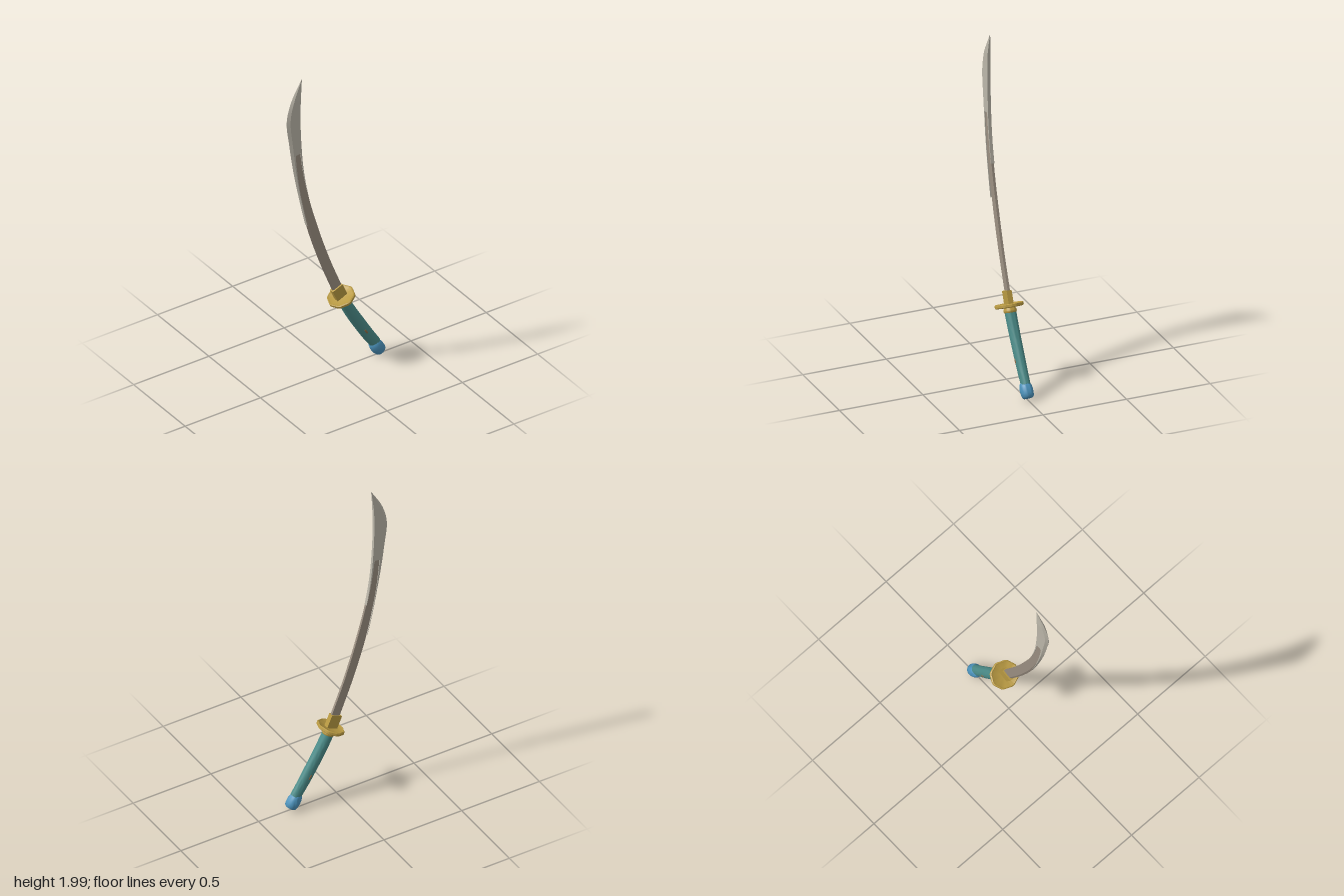
import * as THREE from 'three';
import { toCreasedNormals } from 'three/addons/utils/BufferGeometryUtils.js';

const mat = (name, color, side = THREE.FrontSide) => {
  const m = new THREE.MeshStandardMaterial({ color, side });
  m.name = name;
  return m;
};

// Closed skin over a row of rings (arrays of Vector3), capped at both ends
function loft(rings, crease = 0.6) {
  const n = rings[0].length, pos = [], idx = [];
  const centre = r => r.reduce((s, p) => s.add(p), new THREE.Vector3()).divideScalar(n);
  rings.forEach(r => r.forEach(p => pos.push(p.x, p.y, p.z)));
  for (let i = 0; i < rings.length - 1; i++) {
    for (let j = 0; j < n; j++) {
      const a = i * n + j, b = i * n + (j + 1) % n;
      idx.push(a, b, a + n, b, b + n, a + n);
    }
  }
  [0, rings.length - 1].forEach((k, e) => {
    const c = centre(rings[k]), ci = pos.length / 3;
    pos.push(c.x, c.y, c.z);
    for (let j = 0; j < n; j++) {
      const a = k * n + j, b = k * n + (j + 1) % n;
      if (e) idx.push(a, b, ci); else idx.push(b, a, ci);
    }
  });
  // Turn the faces outwards when the enclosed volume comes out negative
  const v = i => new THREE.Vector3().fromArray(pos, i * 3);
  const o = v(0);
  let vol = 0;
  for (let i = 0; i < idx.length; i += 3) {
    const [a, b, c] = [0, 1, 2].map(k => v(idx[i + k]).sub(o));
    vol += a.dot(b.cross(c));
  }
  if (vol < 0) idx.reverse();
  const g = new THREE.BufferGeometry();
  g.setAttribute('position', new THREE.Float32BufferAttribute(pos, 3));
  g.setIndex(idx);
  return toCreasedNormals(g, crease);
}

const curve = pts => new THREE.CatmullRomCurve3(pts.map(p => new THREE.Vector3(p[0], p[1], 0)));

// Cutting edge and back of the blade, paired station by station
const edge = curve([[-0.024, 0.537], [-0.105, 0.745], [-0.183, 0.98], [-0.243, 1.22], [-0.281, 1.41],
  [-0.309, 1.6], [-0.325, 1.755], [-0.295, 1.875], [-0.226, 2]]);
const back = curve([[0.034, 0.558], [-0.045, 0.76], [-0.124, 1], [-0.188, 1.235], [-0.22, 1.42],
  [-0.235, 1.605], [-0.24, 1.765], [-0.237, 1.87], [-0.225, 2]]);

// Blade piece from station s0 to s1; section(k) lists [fraction across, half thickness]
function bladePiece(s0, s1, steps, section) {
  const rings = [];
  for (let i = 0; i <= steps; i++) {
    const k = i / steps, t = (s0 + (s1 - s0) * k) / 8;
    const a = edge.getPoint(t), b = back.getPoint(t);
    const at = (u, z) => a.clone().lerp(b, u).setZ(z);
    const s = section(k);
    rings.push([...s.map(([u, z]) => at(u, z)), ...s.slice().reverse().map(([u, z]) => at(u, -z))]);
  }
  return loft(rings, 0.25);
}

// Lathe with a slightly flattened section
function turned(profile, flat) {
  const g = new THREE.LatheGeometry(profile.map(p => new THREE.Vector2(...p)), 24);
  return toCreasedNormals(g.scale(1, 1, flat), 0.7);
}

export function createModel() {
  const root = new THREE.Group();
  root.name = 'curvedSword';
  const steel = mat('paleSteel', 0xbcb7aa);
  const dark = mat('darkSteel', 0x9c9082);
  const gold = mat('gold', 0xb99a42);
  const teal = mat('tealGrip', 0x4b8c89);
  const blue = mat('bluePommel', 0x4b92bb);
  const bronze = mat('bronze', 0x8a6c48);
  const add = (parent, name, geo, material, x = 0, y = 0, z = 0) => {
    const m = new THREE.Mesh(geo, material);
    m.name = name;
    m.position.set(x, y, z);
    parent.add(m);
    return m;
  };

  // Blade: thin dark core, thicker pale tip, and two pale strips running down from it
  const blade = new THREE.Group();
  blade.name = 'blade';
  root.add(blade);
  const joint = 4.55, T = 0.011;
  add(blade, 'bladeCore', bladePiece(0, joint + 0.05, 28,
    () => [[0.01, 0.0005], [0.2, 0.007], [0.99, 0.007]]), dark);
  add(blade, 'bladeTip', bladePiece(joint, 8, 32, k => {
    const t = T * Math.min(1, 0.12 + (1 - k) * 3.2);
    return [[0, 0.0005], [0.22, t], [1, t * 0.85]];
  }), steel);
  add(blade, 'edgeStrip', bladePiece(2.2, joint, 18, k => {
    const f = 0.04 + 0.33 * k;
    return [[0, 0.0005], [f * 0.6, T], [f, T]];
  }), steel);
  add(blade, 'backStrip', bladePiece(3, joint, 14,
    k => [[0.98 - 0.13 * k, T], [1, T * 0.85]]), steel);

  // Guard assembly, tilted with the root of the blade
  const guard = new THREE.Group();
  guard.name = 'guard';
  guard.position.set(0.037, 0.473, 0);
  guard.rotation.z = 0.418;
  root.add(guard);
  const profile = [[0.15, 0.003], [0.84, 0.006], [0.93, 0.011], [1, 0.007], [1, -0.006], [0.93, -0.01], [0.15, -0.006]];
  add(guard, 'guardPlate', loft(profile.map(([r, y]) =>
    Array.from({ length: 64 }, (_, i) => {
      const a = i / 64 * Math.PI * 2, w = r * (1 + 0.025 * Math.cos(8 * a));
      return new THREE.Vector3(Math.cos(a) * 0.077 * w, y, Math.sin(a) * 0.082 * w);
    }))), gold);
  add(guard, 'bladeCollar', new THREE.BoxGeometry(0.07, 0.085, 0.03), gold, 0, 0.04);
  add(guard, 'gripCollar', turned([[0, -0.042], [0.034, -0.042], [0.04, -0.034], [0.04, -0.024],
    [0.033, -0.014], [0.033, -0.005], [0, -0.005]], 0.92), gold);

  // Curved grip with an oval section
  const spine = curve([[0.046, 0.455], [0.1, 0.352], [0.16, 0.25], [0.21, 0.168], [0.262, 0.09]]);
  const grip = [];
  for (let i = 0; i <= 16; i++) {
    const k = i / 16, c = spine.getPoint(k), d = spine.getTangent(k);
    const rx = 0.033 + 0.003 * Math.sin(k * Math.PI), rz = 0.033 - 0.007 * k;
    grip.push(Array.from({ length: 24 }, (_, j) => {
      const a = j / 24 * Math.PI * 2, x = Math.cos(a) * rx;
      return new THREE.Vector3(c.x - d.y * x, c.y + d.x * x, Math.sin(a) * rz);
    }));
  }
  add(root, 'grip', loft(grip), teal);

  // Small ornament on each side of the grip
  for (const s of [1, -1]) {
    const stud = add(root, 'gripOrnament', new THREE.SphereGeometry(1, 12, 8), bronze, 0.184, 0.205, s * 0.027);
    stud.scale.set(0.007, 0.018, 0.004);
    stud.rotation.z = 0.55;
  }

  // Rounded pommel with a flat end
  const pommel = add(root, 'pommel', turned([[0, -0.047], [0.026, -0.047], [0.034, -0.04], [0.038, -0.022],
    [0.039, 0], [0.036, 0.02], [0.031, 0.036], [0.024, 0.044], [0, 0.047]], 0.95), blue, 0.272, 0.062);
  pommel.rotation.z = 0.62;

  return root;
}
